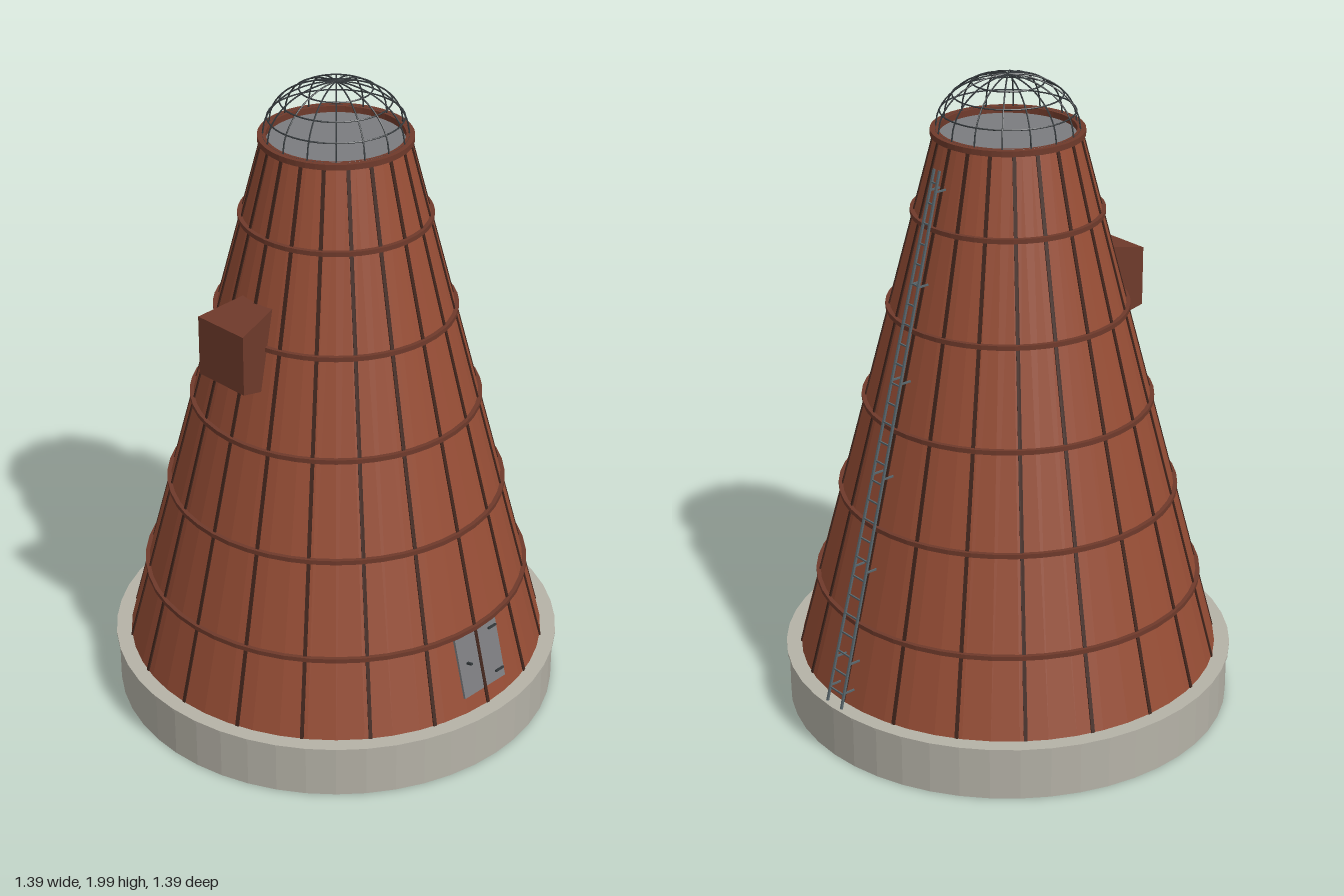
import * as THREE from 'three';

const mat = (name, color) => {
  const m = new THREE.MeshStandardMaterial({ color, flatShading: true });
  m.name = name;
  return m;
};

export function createModel() {
  const brick = mat('brickRed', 0x964d35);
  const bandBrown = mat('bandBrown', 0x6f3a2b);
  const seamBrown = mat('seamBrown', 0x40241b);
  const concrete = mat('concrete', 0xb5b2a7);
  const steel = mat('steelGrey', 0x7b7c7f);
  const ladderGrey = mat('ladderGrey', 0x58666c);
  const iron = mat('darkIron', 0x33383b);

  const model = new THREE.Group();
  model.name = 'conicalTower';
  const SEG = 48, Y0 = 0.165, Y1 = 1.825, R0 = 0.65, R1 = 0.213;
  const radiusAt = y => R0 + (R1 - R0) * (y - Y0) / (Y1 - Y0);
  const lean = Math.atan2(R0 - R1, Y1 - Y0);
  const v = (x, y, z) => new THREE.Vector3(x, y, z);

  const add = (parent, name, geo, material, x = 0, y = 0, z = 0) => {
    const m = new THREE.Mesh(geo, material);
    m.name = name;
    m.position.set(x, y, z);
    parent.add(m);
    return m;
  };
  const group = (name, parent = model) => {
    const g = new THREE.Group();
    g.name = name;
    parent.add(g);
    return g;
  };
  // Thin square bar between two points
  const bar = (parent, name, a, b, w, material) => {
    const d = b.clone().sub(a);
    const m = add(parent, name, new THREE.BoxGeometry(w, d.length(), w), material);
    m.position.copy(a).addScaledVector(d, 0.5);
    m.quaternion.setFromUnitVectors(v(0, 1, 0), d.normalize());
  };
  // Ring of rectangular section
  const ring = (parent, name, inner, outer, low, high, material) => add(parent, name,
    new THREE.LatheGeometry([[inner, low], [outer, low], [outer, high], [inner, high], [inner, low]]
      .map(p => new THREE.Vector2(...p)), SEG), material);

  // Concrete base with a thin lip
  add(model, 'base', new THREE.CylinderGeometry(0.688, 0.688, 0.165, SEG), concrete, 0, 0.0825);
  add(model, 'baseLip', new THREE.CylinderGeometry(0.696, 0.696, 0.008, SEG), concrete, 0, 0.166);

  // Tapered shell
  add(model, 'shell', new THREE.CylinderGeometry(R1, R0, Y1 - Y0, SEG, 1, true), brick, 0, (Y0 + Y1) / 2);

  // Horizontal bands and top rim
  const bands = group('bands');
  for (const y of [0.415, 0.707, 1.0, 1.292, 1.585]) {
    ring(bands, 'band', radiusAt(y) - 0.012, radiusAt(y) + 0.011, y - 0.007, y + 0.007, bandBrown);
  }
  ring(bands, 'rimWall', 0.201, 0.21, 1.79, 1.82, bandBrown);
  ring(bands, 'topRim', 0.201, 0.226, 1.815, 1.832, bandBrown);

  // Vertical seams up the shell
  const seams = group('seams');
  const slope = Math.hypot(R0 - R1, Y1 - Y0);
  for (let i = 0; i < 20; i++) {
    const spoke = group('seam', seams);
    spoke.rotation.y = i * Math.PI / 10;
    const strip = add(spoke, 'seamStrip', new THREE.BoxGeometry(0.011, slope - 0.01, 0.008), seamBrown,
      0, (Y0 + Y1) / 2, (R0 + R1) / 2 - 0.001);
    strip.rotation.x = -lean;
  }

  // Grey screen closing the top
  add(model, 'topScreen', new THREE.CylinderGeometry(0.203, 0.203, 0.01, SEG), steel, 0, 1.808);

  // Wire cage dome
  const cage = group('cageDome');
  const DR = 0.21, DH = 0.16, DY = 1.83, WIRE = 0.0024;
  const domePoint = t => v(DR * Math.sin(t), DY + DH * Math.cos(t), 0);
  const arc = new THREE.CatmullRomCurve3(
    Array.from({ length: 13 }, (_, i) => domePoint((i / 6 - 1) * Math.PI / 2)));
  const arcGeo = new THREE.TubeGeometry(arc, 32, WIRE, 5);
  for (let i = 0; i < 8; i++) {
    add(cage, 'cageRib', arcGeo, iron).rotation.y = i * Math.PI / 8;
  }
  for (const deg of [30, 50, 70, 90]) {
    const p = domePoint(deg * Math.PI / 180);
    add(cage, 'cageHoop', new THREE.TorusGeometry(p.x, WIRE, 5, SEG), iron, 0, p.y).rotation.x = Math.PI / 2;
  }

  // Ladder on the left side, narrowing upward
  const ladder = group('ladder');
  const ladderAt = (y, side) => {
    const t = (y - 0.172) / (1.76 - 0.172);
    return v(0.683 + (0.265 - 0.683) * t, y, side * (0.034 - 0.022 * t));
  };
  for (const s of [-1, 1]) {
    bar(ladder, 'ladderRail', ladderAt(0.172, s), ladderAt(1.76, s), 0.0065, ladderGrey);
    for (const y of [0.22, 0.31, 0.59, 0.87, 1.15, 1.43, 1.7]) {
      const p = ladderAt(y, s);
      bar(ladder, 'ladderBracket', p, v(radiusAt(y) - 0.01, y, p.z), 0.005, ladderGrey);
    }
  }
  for (let i = 0; i < 27; i++) {
    const y = 0.215 + i * 0.058;
    bar(ladder, 'ladderRung', ladderAt(y, -1), ladderAt(y, 1), 0.0045, ladderGrey);
  }

  // Side hood: flaring sideways and getting shallower outward
  const hood = new THREE.BoxGeometry(1, 1, 1);
  const pos = hood.attributes.position;
  for (let i = 0; i < pos.count; i++) {
    const outer = pos.getX(i) < 0, top = pos.getY(i) > 0;
    pos.setXYZ(i, outer ? -0.463 : -0.3,
      outer ? (top ? 1.378 : 1.193) : (top ? 1.408 : 1.138),
      Math.sign(pos.getZ(i)) * (outer ? 0.093 : 0.057));
  }
  hood.computeVertexNormals();
  add(model, 'sideHood', hood, bandBrown);

  // Front hatch lying on the slope, with hinges and handle
  const hatch = group('hatch');
  hatch.position.set(0, 0.313, radiusAt(0.313));
  hatch.rotation.x = -lean;
  add(hatch, 'hatchPanel', new THREE.BoxGeometry(0.178, 0.193, 0.018), steel, 0, 0, -0.008);
  for (const y of [-0.067, 0.076]) {
    add(hatch, 'hatchHinge', new THREE.BoxGeometry(0.034, 0.006, 0.006), iron, 0.068, y, 0.004);
  }
  add(hatch, 'hatchHandle', new THREE.BoxGeometry(0.008, 0.006, 0.02), iron, -0.055, 0.008, 0.01);

  return model;
}
